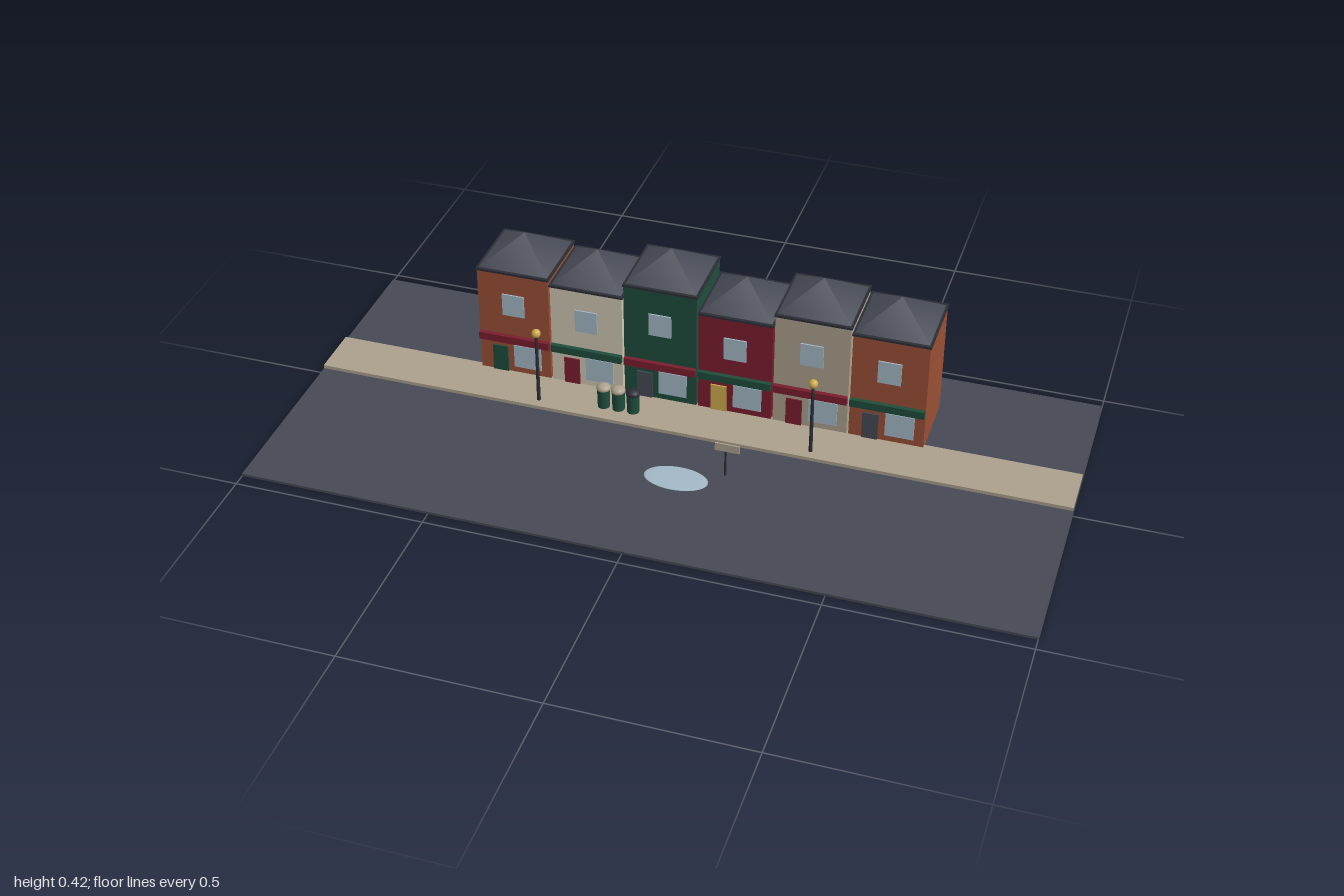
import * as THREE from 'three';

const material = (name, color) => {
  const m = new THREE.MeshStandardMaterial({ color });
  m.name = name;
  return m;
};

export function createModel() {
  const slate = material('slate', 0x464a55);
  const dark = material('dark iron', 0x2c2e35);
  const brick = material('brick', 0x9a5036);
  const cream = material('cream', 0xcfc7b2);
  const stone = material('stone', 0xaca08c);
  const green = material('bottle green', 0x1f4d3c);
  const red = material('deep red', 0x7a1d2d);
  const glass = material('glass', 0xa3b8c6);
  const gold = material('gold', 0xcfac4e);

  const model = new THREE.Group();
  model.name = 'street';

  const add = (parent, name, geometry, mat, x, y, z) => {
    const mesh = new THREE.Mesh(geometry, mat);
    mesh.name = name;
    mesh.position.set(x, y, z);
    parent.add(mesh);
    return mesh;
  };
  const box = (parent, name, mat, w, h, d, x, y, z) =>
    add(parent, name, new THREE.BoxGeometry(w, h, d), mat, x, y, z);
  const group = (name, x, y, z) => {
    const g = new THREE.Group();
    g.name = name;
    g.position.set(x, y, z);
    model.add(g);
    return g;
  };

  // Road slab and raised pavement
  box(model, 'road', slate, 2, 0.007, 0.934, 0, 0.0035, 0);
  box(model, 'pavement', stone, 2, 0.01, 0.14, 0, 0.0115, -0.082);

  // Terrace of shop houses: wall, wall top, door, sign
  const houses = [
    [brick, 0.318, green, red],
    [cream, 0.304, red, green],
    [green, 0.345, slate, red],
    [red, 0.299, gold, green],
    [stone, 0.334, red, red],
    [brick, 0.318, slate, green],
  ];
  houses.forEach(([wall, top, door, sign], i) => {
    const house = group('house', -0.5 + i * 0.2, 0, -0.24);
    const front = 0.1;
    box(house, 'walls', wall, 0.195, top - 0.006, 0.2, 0, (top + 0.006) / 2, 0);
    box(house, 'eaves', dark, 0.2, 0.006, 0.205, 0, top + 0.003, 0);
    const roof = new THREE.ConeGeometry(0.094 * Math.SQRT2, 0.066, 4);
    roof.rotateY(Math.PI / 4);
    add(house, 'roof', roof, slate, 0, top + 0.039, 0);
    box(house, 'upperWindow', glass, 0.06, 0.064, 0.006, 0, top * 0.71, front + 0.001);
    box(house, 'shopWindow', glass, 0.075, 0.068, 0.006, 0.034, 0.069, front + 0.001);
    box(house, 'door', door, 0.042, 0.077, 0.006, -0.042, 0.055, front + 0.001);
    box(house, 'shopSign', sign, 0.193, 0.021, 0.012, 0, 0.121, front + 0.006);
  });

  // Street lamps
  for (const x of [-0.4, 0.33]) {
    const lamp = group('streetLamp', x, 0, -0.04);
    add(lamp, 'post', new THREE.CylinderGeometry(0.004, 0.005, 0.2, 12), dark, 0, 0.116, 0);
    add(lamp, 'globe', new THREE.SphereGeometry(0.012, 20, 14), gold, 0, 0.224, 0);
  }

  // Bins with domed lids
  [[-0.23, stone], [-0.19, stone], [-0.15, dark]].forEach(([x, lid]) => {
    const bin = group('bin', x, 0, -0.066);
    add(bin, 'body', new THREE.CylinderGeometry(0.017, 0.016, 0.054, 20), green, 0, 0.043, 0);
    add(bin, 'lid', new THREE.SphereGeometry(0.019, 20, 12), lid, 0, 0.074, 0).scale.y = 0.6;
  });

  // Shallow puddle in the road
  const puddle = add(model, 'puddle', new THREE.SphereGeometry(1, 32, 12), glass, 0.037, 0.007, 0.158);
  puddle.scale.set(0.083, 0.003, 0.047);

  // Small notice board on a post
  const notice = group('noticeBoard', 0.155, 0, 0.107);
  add(notice, 'post', new THREE.CylinderGeometry(0.003, 0.003, 0.08, 10), dark, -0.005, 0.046, 0);
  box(notice, 'board', stone, 0.064, 0.022, 0.004, 0, 0.093, 0.002);

  return model;
}
